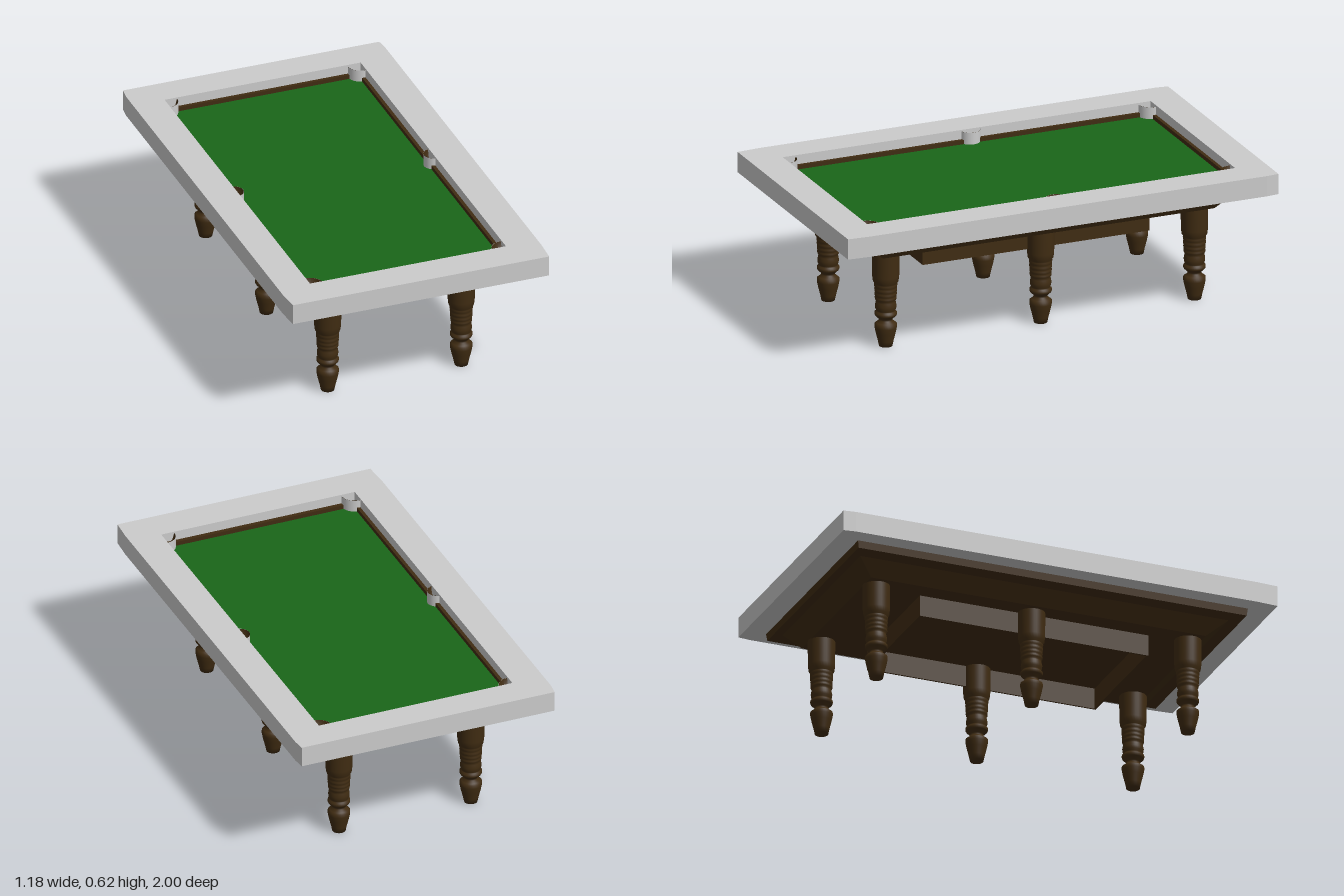
import * as THREE from 'three';

const grey = new THREE.MeshStandardMaterial({ color: 0xcccccc });
const greyOpen = new THREE.MeshStandardMaterial({ color: 0xcccccc, side: THREE.DoubleSide });
const wood = new THREE.MeshStandardMaterial({ color: 0x402c12 });
const woodOpen = new THREE.MeshStandardMaterial({ color: 0x402c12, side: THREE.DoubleSide });
const cloth = new THREE.MeshStandardMaterial({ color: 0x1a6619 });

const points = (list) => list.map(([x, y]) => new THREE.Vector2(x, y));

function rectangle(x0, x1, z0, z1) {
  return points([[x0, -z1], [x1, -z1], [x1, -z0], [x0, -z0]]);
}

// Horizontal slab from an outline in (x, -z), with an optional hole
function slab(name, outline, hole, y0, y1, material) {
  const shape = new THREE.Shape(outline);
  if (hole) shape.holes.push(new THREE.Path(hole));
  const geometry = new THREE.ExtrudeGeometry(shape, { depth: y1 - y0, bevelEnabled: false });
  geometry.rotateX(-Math.PI / 2).translate(0, y0, 0);
  const mesh = new THREE.Mesh(geometry, material);
  mesh.name = name;
  return mesh;
}

// Box whose bottom is narrower than its top; each rectangle is [x0, x1, z0, z1]
function taperedBox(name, bottom, top, y0, y1, material) {
  const geometry = new THREE.BoxGeometry(1, 1, 1);
  const p = geometry.attributes.position;
  for (let i = 0; i < p.count; i++) {
    const r = p.getY(i) < 0 ? bottom : top;
    p.setXYZ(i, p.getX(i) < 0 ? r[0] : r[1], p.getY(i) < 0 ? y0 : y1, p.getZ(i) < 0 ? r[2] : r[3]);
  }
  geometry.computeVertexNormals();
  const mesh = new THREE.Mesh(geometry, material);
  mesh.name = name;
  return mesh;
}

// Turned leg: foot, neck, beads and a thick upper block
const legProfile = points([
  [0, 0], [0.029, 0], [0.034, 0.025], [0.043, 0.06], [0.048, 0.085], [0.048, 0.1],
  [0.04, 0.106], [0.029, 0.116], [0.03, 0.124], [0.045, 0.138], [0.048, 0.144],
  [0.048, 0.153], [0.041, 0.158], [0.041, 0.163], [0.045, 0.172], [0.046, 0.185],
  [0.043, 0.2], [0.041, 0.208], [0.046, 0.213], [0.047, 0.222], [0.043, 0.226],
  [0.047, 0.231], [0.048, 0.241], [0.044, 0.245], [0.048, 0.25], [0.049, 0.261],
  [0.045, 0.265], [0.049, 0.27], [0.05, 0.282], [0.047, 0.286], [0.055, 0.295],
  [0.058, 0.32], [0.059, 0.44],
]);

// Pocket: round wall with a bowl inside; the outer part lies within the frame
function pocket(name, x, z, radius) {
  const group = new THREE.Group();
  group.name = name;
  const wall = new THREE.Mesh(new THREE.CylinderGeometry(radius, radius, 0.06, 28, 1, true), greyOpen);
  wall.name = 'pocketWall';
  wall.position.y = 0.585;
  const r = radius - 0.001;
  const bowl = new THREE.Mesh(new THREE.LatheGeometry(points([
    [0, 0.564], [r * 0.5, 0.57], [r * 0.85, 0.585], [r, 0.615],
  ]), 28), woodOpen);
  bowl.name = 'pocketBowl';
  group.add(wall, bowl);
  group.position.set(x, 0, z);
  return group;
}

export function createModel() {
  const model = new THREE.Group();
  model.name = 'billiardTable';

  // Broad top frame, its sides tapering slightly at the ends
  const outline = points([
    [-0.586, -1], [0.584, -1], [0.59, -0.9], [0.59, 0.945],
    [0.584, 1], [-0.586, 1], [-0.593, 0.945], [-0.593, -0.9],
  ]);
  const opening = rectangle(-0.45, 0.445, -0.86, 0.85);
  model.add(slab('topFrame', outline, opening, 0.53, 0.622, grey));

  // Cushion rails and playing cloth
  const field = rectangle(-0.435, 0.43, -0.845, 0.832);
  model.add(slab('cushionRails', opening, field, 0.53, 0.58, wood));
  model.add(slab('playingCloth', field, null, 0.53, 0.562, cloth));

  // Six pockets
  for (const [side, xc, xm] of [['right', -0.447, -0.46], ['left', 0.442, 0.455]]) {
    model.add(pocket(side + 'BackPocket', xc, -0.857, 0.055));
    model.add(pocket(side + 'MiddlePocket', xm, -0.024, 0.045));
    model.add(pocket(side + 'FrontPocket', xc, 0.847, 0.058));
  }

  // Moulding and sloping apron beneath the frame
  model.add(taperedBox('topMoulding', [-0.51, 0.506, -0.899, 0.889], [-0.514, 0.51, -0.903, 0.893], 0.498, 0.53, wood));
  model.add(taperedBox('apron', [-0.388, 0.385, -0.79, 0.75], [-0.436, 0.43, -0.86, 0.836], 0.43, 0.498, wood));

  // Open ring of boards under the apron
  model.add(slab('underFrame', rectangle(-0.3, 0.29, -0.53, 0.524),
    rectangle(-0.292, 0.282, -0.522, 0.516), 0.335, 0.432, wood));

  // Three pairs of legs
  const legGeometry = new THREE.LatheGeometry(legProfile, 32);
  for (const [row, z] of [['back', -0.735], ['middle', -0.02], ['front', 0.7]]) {
    for (const [side, x] of [['Right', -0.311], ['Left', 0.299]]) {
      const leg = new THREE.Mesh(legGeometry, wood);
      leg.name = row + side + 'Leg';
      leg.position.set(x, 0, z);
      model.add(leg);
    }
  }
  return model;
}
